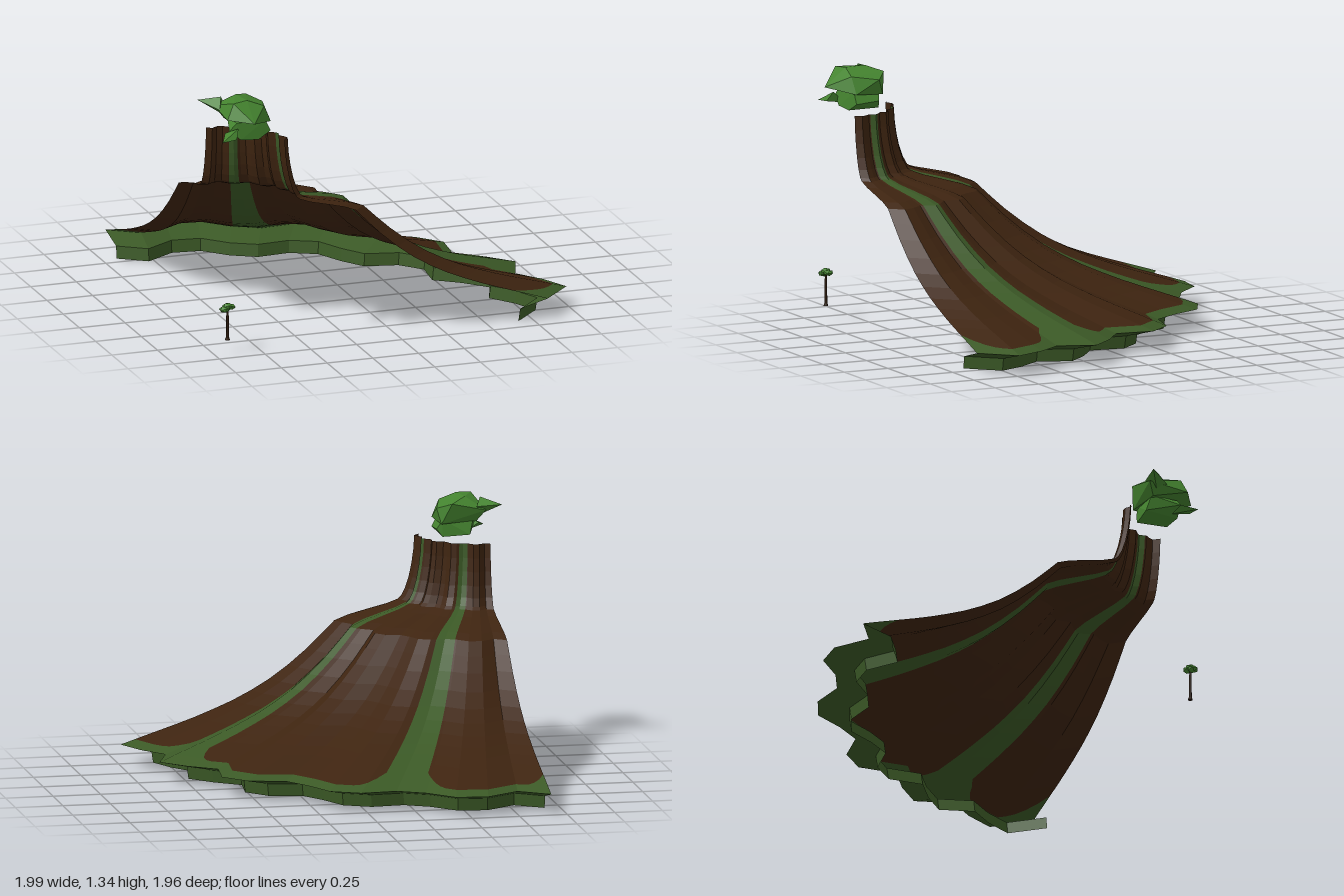
import * as THREE from 'three';
import { ConvexGeometry } from 'three/addons/geometries/ConvexGeometry.js';

const CX = -0.92, CZ = 0.9; // axis of the quarter fan
const R_MAX = 1.92;

// rim radius every 5 degrees, from the back (-z) round to the left (+x)
const RIM = [1.88, 1.776, 1.907, 1.923, 1.83, 1.81, 1.91, 1.925, 1.84, 1.8,
  1.91, 1.92, 1.79, 1.866, 1.926, 1.8, 1.87, 1.92, 1.75];

// slope profile: radius, height
const PROFILE = [[0.34, 1.115], [0.345, 1.04], [0.355, 0.97], [0.37, 0.9], [0.39, 0.84],
  [0.412, 0.8], [0.43, 0.785], [0.5, 0.762], [0.6, 0.74], [0.7, 0.717], [0.77, 0.692],
  [0.84, 0.625], [0.92, 0.552], [1.02, 0.473], [1.12, 0.405], [1.22, 0.35], [1.32, 0.303],
  [1.42, 0.264], [1.52, 0.228], [1.62, 0.196], [1.72, 0.166], [1.82, 0.136], [1.92, 0.105]];
const RADII = PROFILE.map((p) => p[0]);
const SKIRT = [[1.92, 0.105], [1.755, 0.065], [1.745, 0]];

// scalloped outline: straight chords between the rim points
function outline(deg) {
  const i = Math.min(Math.floor(deg / 5), RIM.length - 2);
  const at = (k) => {
    const a = THREE.MathUtils.degToRad(k * 5);
    return new THREE.Vector2(RIM[k] * Math.sin(a), RIM[k] * Math.cos(a));
  };
  return at(i).lerp(at(i + 1), deg / 5 - i);
}

function place(deg, radius, y) {
  const o = outline(deg).multiplyScalar(radius / R_MAX);
  return new THREE.Vector3(CX + o.x, y, CZ - o.y);
}

function heightAt(r) {
  let i = 1;
  while (i < PROFILE.length - 1 && PROFILE[i][0] < r) i++;
  const [r0, y0] = PROFILE[i - 1], [r1, y1] = PROFILE[i];
  return THREE.MathUtils.mapLinear(r, r0, r1, y0, y1);
}

// angles from a to b, keeping the fold lines at every 5 degrees
function columns(a, b) {
  const list = [a];
  for (let d = Math.floor(a) + 1; d < b; d++) list.push(d);
  list.push(b);
  return list;
}

// faceted sheet; point(deg, row) gives a position
function sheet(cols, rows, point) {
  const pos = [];
  const tri = (a, b, c) => {
    const area = b.clone().sub(a).cross(c.clone().sub(a)).length();
    if (area > 1e-9) for (const p of [a, b, c]) pos.push(p.x, p.y, p.z);
  };
  for (let i = 0; i < cols.length - 1; i++) {
    for (let j = 0; j < rows - 1; j++) {
      const a = point(cols[i], j), b = point(cols[i + 1], j);
      const c = point(cols[i + 1], j + 1), d = point(cols[i], j + 1);
      tri(a, b, c);
      tri(a, c, d);
    }
  }
  const g = new THREE.BufferGeometry();
  g.setAttribute('position', new THREE.Float32BufferAttribute(pos, 3));
  g.computeVertexNormals();
  return g;
}

export function createModel() {
  const model = new THREE.Group();
  const material = (name, color, side = THREE.FrontSide) =>
    Object.assign(new THREE.MeshStandardMaterial({ color, side }), { name });
  const bark = material('bark brown', 0x3e2410, THREE.DoubleSide);
  const moss = material('moss green', 0x3b5926, THREE.DoubleSide);
  const leaf = material('leaf green', 0x44832f, THREE.DoubleSide);
  const darkBark = material('dark bark', 0x2a190b);

  const add = (name, geometry, mat, parent = model) => {
    const mesh = new THREE.Mesh(geometry, mat);
    mesh.name = name;
    parent.add(mesh);
    return mesh;
  };

  // bark slopes, each with a mossy border along the rim
  const slopes = [[0, 20.7], [28, 67], [74, 90]];
  slopes.forEach(([a, b], n) => {
    const limit = (deg) => {
      const d = Math.min(deg - a, b - deg, 4);
      return R_MAX * (0.96 - 0.07 * (1 - d / 4) ** 2);
    };
    const part = (clamp) => (deg, j) => {
      const r = clamp(RADII[j], limit(deg));
      return place(deg, r, heightAt(r));
    };
    const cols = columns(a, b);
    add(`barkSlope${n + 1}`, sheet(cols, RADII.length, part(Math.min)), bark);
    add(`mossBorder${n + 1}`, sheet(cols, RADII.length, part(Math.max)), moss);
  });

  // mossy gullies between the slopes
  [[20.7, 28], [67, 74]].forEach(([a, b], n) => {
    add(`mossGully${n + 1}`,
      sheet(columns(a, b), RADII.length, (deg, j) => place(deg, ...PROFILE[j])), moss);
  });

  // undercut and low wall below the rim
  add('baseSkirt', sheet(RIM.map((_, i) => i * 5), SKIRT.length,
    (deg, j) => place(deg, ...SKIRT[j])), moss);

  // ragged leaf crown floating above the top
  const crown = new THREE.Group();
  crown.name = 'leafCrown';
  model.add(crown);
  const hull = (name, pts) =>
    add(name, new ConvexGeometry(pts.map((p) => new THREE.Vector3(...p))), leaf, crown);
  hull('upperLeaves', [[-0.92, 1.27, 0.68], [-0.74, 1.31, 0.67], [-0.67, 1.28, 0.73],
    [-0.67, 1.21, 0.86], [-0.71, 1.3, 0.87], [-0.8, 1.24, 0.98], [-0.92, 1.25, 0.9],
    [-0.82, 1.335, 0.74], [-0.88, 1.33, 0.88], [-0.8, 1.335, 0.86], [-0.69, 1.2, 0.7],
    [-0.88, 1.21, 0.72]]);
  hull('lowerLeaves', [[-0.84, 1.14, 0.7], [-0.7, 1.13, 0.72], [-0.67, 1.17, 0.73],
    [-0.67, 1.16, 0.86], [-0.74, 1.12, 0.87], [-0.84, 1.13, 0.88], [-0.9, 1.18, 0.87],
    [-0.86, 1.22, 0.72], [-0.7, 1.22, 0.72], [-0.7, 1.22, 0.86], [-0.86, 1.22, 0.87]]);
  hull('backSpike', [[-1, 1.3, 0.66], [-0.9, 1.33, 0.74], [-0.9, 1.24, 0.73],
    [-0.87, 1.29, 0.68], [-0.92, 1.27, 0.78]]);
  hull('frontSpike', [[-0.96, 1.145, 0.94], [-0.86, 1.2, 0.9], [-0.86, 1.14, 0.84],
    [-0.92, 1.17, 0.86], [-0.88, 1.15, 0.93]]);

  // small tree at the inner corner
  const tree = new THREE.Group();
  tree.name = 'smallTree';
  tree.position.set(-0.925, 0.07, 0.912);
  model.add(tree);
  add('treeTrunk', new THREE.CylinderGeometry(0.006, 0.009, 0.16, 6), darkBark, tree)
    .position.y = 0.08;
  add('treeRoots', new THREE.CylinderGeometry(0.008, 0.014, 0.015, 6), darkBark, tree)
    .position.y = 0.0075;
  [[-0.018, 0.168, 0.005, 0.03], [0.018, 0.175, -0.005, 0.028], [0, 0.182, 0, 0.028]]
    .forEach(([x, y, z, r], i) => {
      const clump = add(`treeLeaves${i + 1}`, new THREE.IcosahedronGeometry(r, 0), leaf, tree);
      clump.position.set(x, y, z);
      clump.scale.y = 0.6;
    });

  return model;
}
